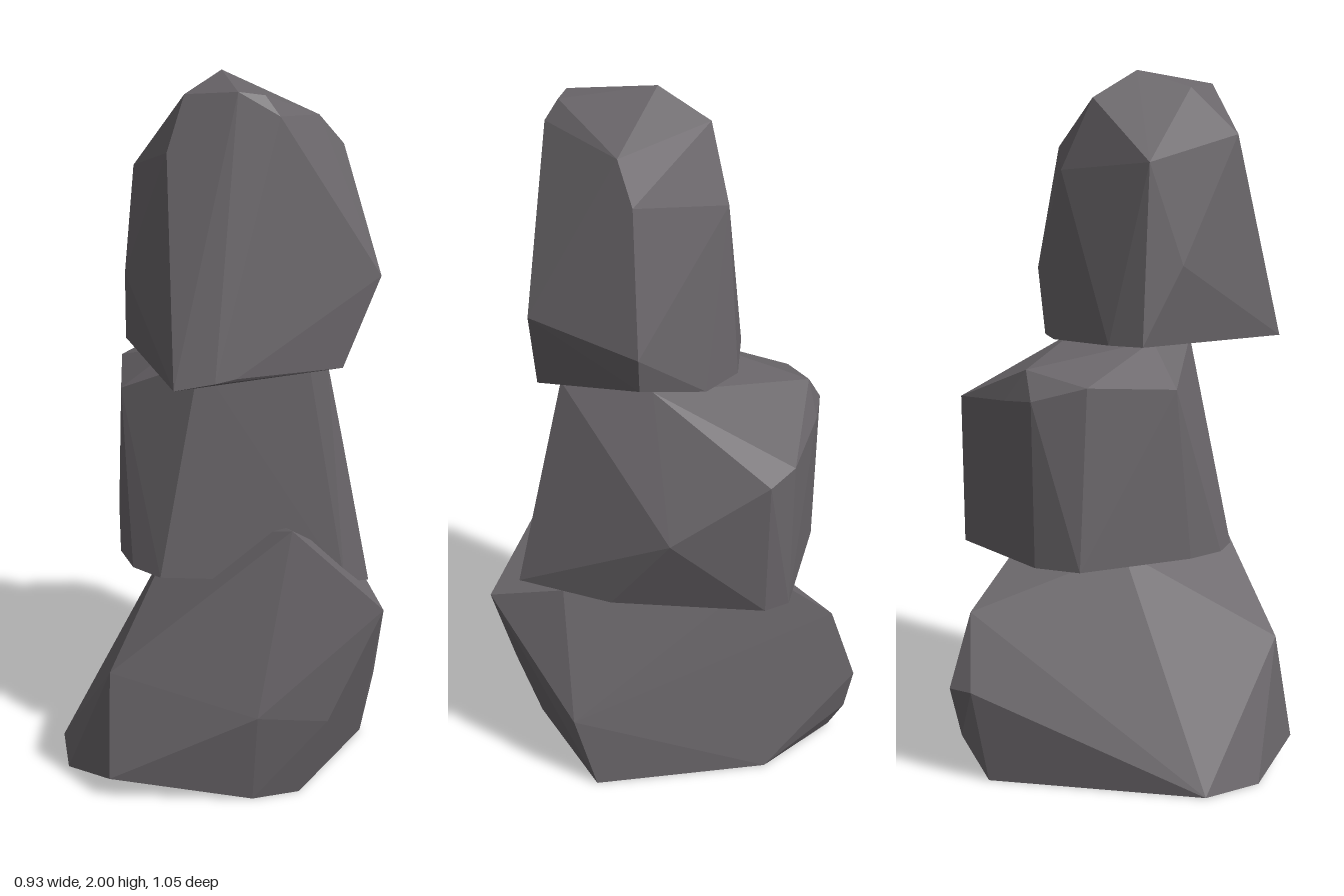
import * as THREE from 'three';
import { ConvexGeometry } from 'three/addons/geometries/ConvexGeometry.js';

const material = new THREE.MeshStandardMaterial({ color: 0x6a666a, flatShading: true });

// A faceted boulder: the hull around its corner points
function boulder(name, corners) {
  const points = corners.map(([x, y, z]) => new THREE.Vector3(x, y, z));
  const mesh = new THREE.Mesh(new ConvexGeometry(points), material);
  mesh.name = name;
  return mesh;
}

export function createModel() {
  const group = new THREE.Group();
  group.name = 'stackedRocks';

  // Wide base rock with a pointed front peak
  group.add(boulder('bottomRock', [
    // underside
    [-0.465, 0, 0.13], [0, 0, 0.45], [0.14, 0, 0.455], [0.44, 0, 0.2],
    [0.27, 0, -0.28], [0.04, 0, -0.45], [-0.44, 0, -0.05],
    // front and left
    [-0.39, 0.07, 0.335], [-0.37, 0.38, 0.285], [0, 0.28, 0.485], [0.2, 0.25, 0.508],
    [0.35, 0.58, 0.522], [0.12, 0.8, 0.41], [0.45, 0.23, 0.26],
    // back and top
    [0.12, 0.27, -0.525], [0.05, 0.27, -0.5], [0.1, 0.13, -0.5], [0.12, 0.48, -0.45],
    [0.17, 0.63, -0.25], [0.36, 0.63, 0.3], [-0.08, 0.63, -0.05],
  ]));

  // Flat-bottomed middle rock with a ridge at the front
  group.add(boulder('middleRock', [
    // underside
    [-0.27, 0.635, 0.04], [-0.265, 0.635, 0.16], [-0.21, 0.635, 0.25], [0.27, 0.635, 0.43],
    [0.34, 0.635, 0.435], [0.4, 0.635, 0.15], [0.36, 0.635, -0.28], [0.31, 0.635, -0.34],
    [-0.07, 0.635, -0.36], [-0.19, 0.635, -0.295],
    // sides
    [0.45, 0.87, -0.03], [0.38, 1.04, -0.29], [0.31, 1.07, -0.345], [0.05, 1.09, -0.372],
    [-0.07, 1.1, -0.368], [-0.18, 1.14, -0.26], [-0.25, 1.12, 0],
    // top
    [-0.01, 1.18, -0.34], [0.27, 1.24, 0.05], [0.25, 1.24, 0.31],
    [0.2, 1.24, 0.3], [-0.08, 1.24, 0.2], [-0.1, 1.24, 0.04],
  ]));

  // Tall top rock leaning towards the front
  group.add(boulder('topRock', [
    // underside
    [-0.22, 1.24, 0.43], [-0.12, 1.26, 0.465], [-0.06, 1.265, 0.455], [0.27, 1.24, 0.37],
    [0.24, 1.24, -0.09], [0.11, 1.24, -0.155], [-0.11, 1.24, -0.13], [-0.21, 1.24, -0.09],
    // sides
    [0.43, 1.32, 0.05], [0.46, 1.42, 0.045], [0.38, 1.48, 0.352], [-0.24, 1.46, 0.03],
    [0.11, 1.72, -0.125], [-0.19, 1.74, -0.05], [-0.19, 1.82, 0.28], [0.38, 1.79, 0.07],
    // crown
    [0.28, 1.88, 0.13], [0.04, 1.92, -0.065], [-0.11, 1.95, 0.17],
    [-0.02, 1.97, 0.335], [0.05, 1.96, 0.34], [0.08, 1.91, 0.37], [0.02, 2, 0.08],
  ]));

  return group;
}
